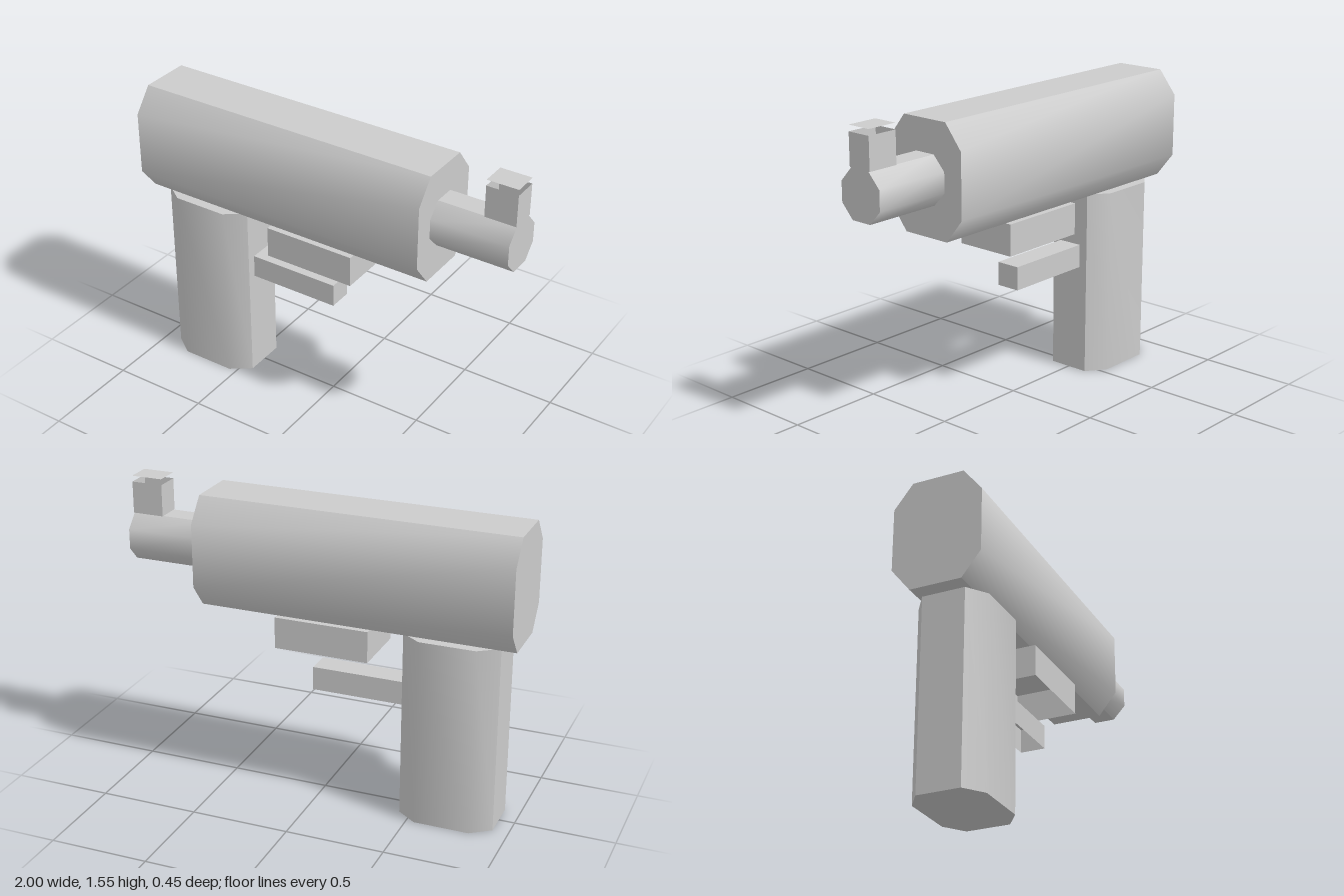
import * as THREE from 'three';
import { toCreasedNormals } from 'three/addons/utils/BufferGeometryUtils.js';

const CREASE = THREE.MathUtils.degToRad(45);

// Eight-sided prism along z: half sizes (a, b), half widths of the straight edges (fa, fb)
function octagonPrism(a, b, fa, fb, length) {
  const shape = new THREE.Shape([
    [fa, -b], [a, -fb], [a, fb], [fa, b], [-fa, b], [-a, fb], [-a, -fb], [-fa, -b],
  ].map(([x, y]) => new THREE.Vector2(x, y)));
  return new THREE.ExtrudeGeometry(shape, { depth: length, bevelEnabled: false });
}

// Box between two x and two y limits, keeping only the listed sides
// (0 +x, 1 -x, 2 top, 3 bottom, 4 front, 5 back)
function openBox(x0, x1, y0, y1, halfZ, sides) {
  const g = new THREE.BoxGeometry(x1 - x0, y1 - y0, halfZ * 2);
  const index = Array.from(g.index.array);
  g.setIndex(sides.flatMap((s) => index.slice(s * 6, s * 6 + 6)));
  g.clearGroups();
  g.translate((x0 + x1) / 2, (y0 + y1) / 2, 0);
  return g;
}

export function createModel() {
  const model = new THREE.Group();
  model.name = 'toyBlaster';
  const grey = new THREE.MeshStandardMaterial({ color: 0xcccccc, side: THREE.DoubleSide });
  grey.name = 'lightGrey';

  const add = (name, geometry) => {
    const mesh = new THREE.Mesh(geometry, grey);
    mesh.name = name;
    model.add(mesh);
  };

  // Main body and barrel, both running along x
  const body = octagonPrism(0.225, 0.28, 0.13, 0.16, 1.6).rotateY(Math.PI / 2).translate(-1, 1.24, 0);
  add('body', toCreasedNormals(body, CREASE));
  const barrel = octagonPrism(0.12, 0.12, 0.055, 0.05, 0.4).rotateY(Math.PI / 2).translate(0.6, 1.24, 0);
  add('barrel', toCreasedNormals(barrel, CREASE));

  // Upright grip
  const grip = octagonPrism(0.24, 0.18, 0.14, 0.108, 0.96).rotateX(-Math.PI / 2).translate(-0.68, 0, 0);
  add('grip', toCreasedNormals(grip, CREASE));

  // Block below the body and trigger bar, both open underneath
  add('underBlock', openBox(-0.28, 0.2, 0.8, 0.96, 0.16, [0, 1, 2, 4, 5]));
  add('triggerBar', openBox(-0.44, 0.04, 0.565, 0.685, 0.063, [0, 1, 2, 4, 5]));

  // Front sight: open walls with a thin lid raised above them
  add('sightWalls', openBox(0.84, 1, 1.36, 1.52, 0.063, [0, 1, 4, 5]));
  const lid = new THREE.PlaneGeometry(0.16, 0.126).rotateX(-Math.PI / 2).translate(0.92, 1.55, 0);
  add('sightLid', lid);

  return model;
}
